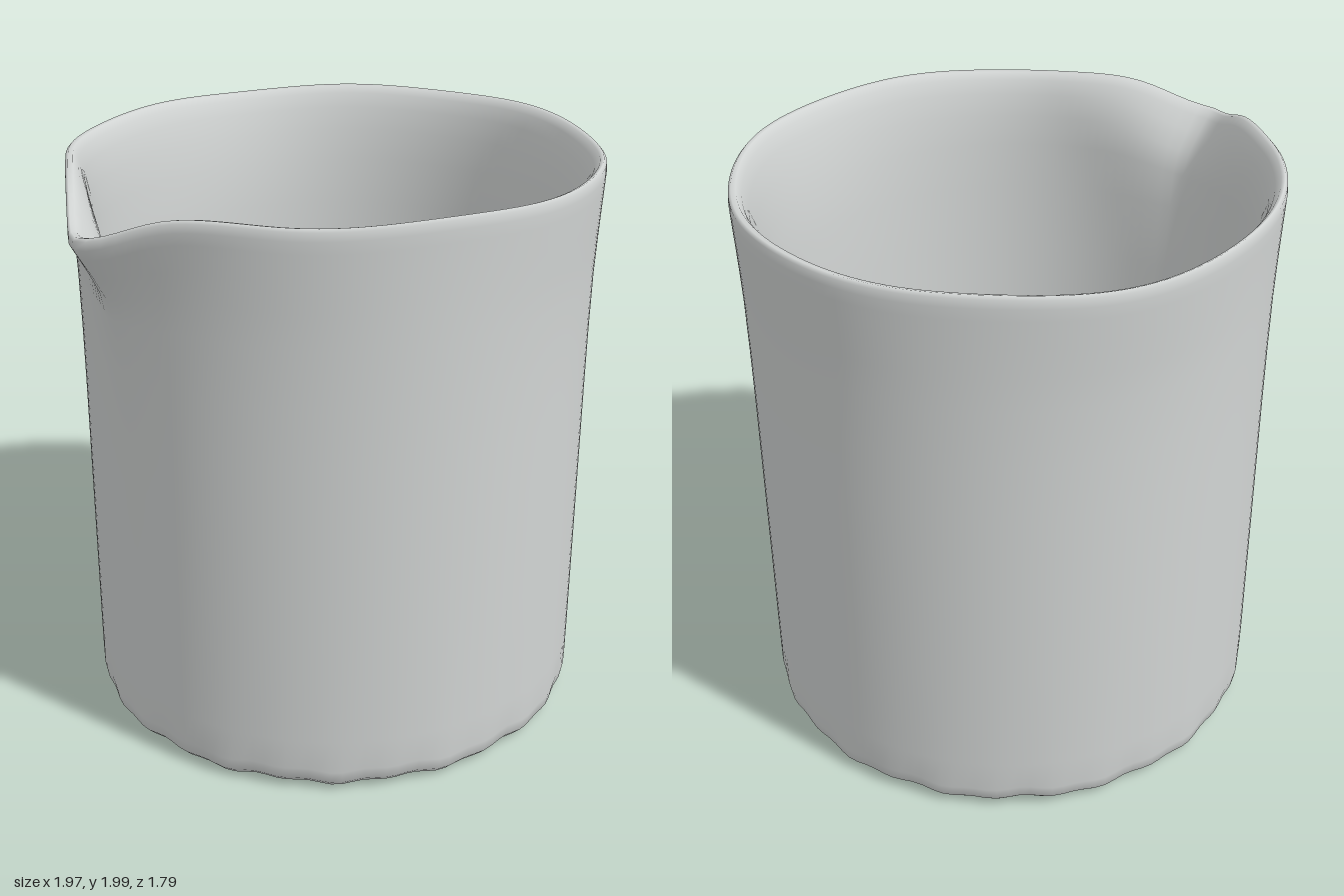
import * as THREE from 'three';

const SEGMENTS = 144;
const CENTRE_X = 0.07;

// Outside, from under the base up to the rim: [radius, height, reach of the pouring lip]
const OUTSIDE = [
  [0, 0.008, 0], [0.4, 0.008, 0], [0.7, 0.008, 0], [0.81, 0.01, 0], [0.845, 0.017, 0],
  [0.867, 0.04, 0], [0.875, 0.085, 0], [0.876, 0.2, 0], [0.876, 0.6, 0], [0.876, 1.0, 0.884],
  [0.876, 1.2, 0.892], [0.877, 1.4, 0.905], [0.88, 1.6, 0.93], [0.885, 1.72, 0.965],
  [0.89, 1.82, 1.01], [0.895, 1.91, 1.06], [0.897, 1.95, 1.085], [0.895, 1.978, 1.085],
  [0.886, 1.988, 1.075],
];
// Inside, from the rim down to the floor
const INSIDE = [
  [0.872, 1.984, 1.06], [0.855, 1.96, 1.035], [0.838, 1.91, 0.99], [0.823, 1.83, 0.93],
  [0.812, 1.72, 0.88], [0.806, 1.55, 0.845], [0.804, 1.3, 0.82], [0.803, 0.9, 0],
  [0.802, 0.5, 0], [0.8, 0.22, 0], [0.79, 0.15, 0], [0.77, 0.11, 0], [0.74, 0.095, 0],
  [0.4, 0.09, 0], [0, 0.09, 0],
];
const PROFILE = [...OUTSIDE, ...INSIDE];

// Radius widened by straight tangents that meet at a slightly rounded lip
function lipRadius(r, reach, fromLip) {
  if (reach <= r) return r;
  const spread = Math.acos(r / reach);
  return r / Math.cos(Math.max(0, spread - Math.hypot(fromLip, 0.035)));
}

function beakerGeometry() {
  const positions = [];
  const indices = [];
  PROFILE.forEach(([r, y, reach], i) => {
    const upper = THREE.MathUtils.smoothstep(y, 1.5, 1.97);
    const isFoot = i > 2 && i < 7 ? 1 : 0;
    const isInside = i >= OUTSIDE.length;
    for (let j = 0; j < SEGMENTS; j++) {
      const a = (j / SEGMENTS) * Math.PI * 2;
      const fromLip = Math.abs(a - Math.PI);
      // gently uneven rim, lowered at the lip
      const wave = 0.005 * Math.sin(3 * a + 2.6) + 0.004 * Math.sin(7 * a + 0.8);
      const dip = 0.09 * Math.exp(-Math.pow(fromLip / 0.2, 2));
      // small irregular scallops around the foot
      const foot = isFoot * (0.004 * Math.sin(13 * a) + 0.004 * Math.sin(29 * a + 1));
      const swell = 0.005 * Math.sin(5 * a + 1.5) + 0.004 * Math.cos(a);
      // the bore is slightly oval and sits a little towards the lip
      const oval = isInside
        ? (1 - upper) * (0.018 * Math.cos(2 * a) - 0.018 * Math.cos(a))
        : 0.004 * Math.cos(2 * a);
      const radius = r > 0
        ? lipRadius(r, reach, fromLip) + upper * swell + oval - 0.5 * foot
        : 0;
      positions.push(
        CENTRE_X + Math.cos(a) * radius,
        Math.max(0, y + upper * (wave - dip) + foot),
        Math.sin(a) * radius,
      );
      if (i < PROFILE.length - 1) {
        const k = (j + 1) % SEGMENTS;
        const p = i * SEGMENTS + j, q = i * SEGMENTS + k;
        indices.push(p, p + SEGMENTS, q, q, p + SEGMENTS, q + SEGMENTS);
      }
    }
  });
  const geometry = new THREE.BufferGeometry();
  geometry.setAttribute('position', new THREE.Float32BufferAttribute(positions, 3));
  geometry.setIndex(indices);
  geometry.computeVertexNormals();
  return geometry;
}

export function createModel() {
  const group = new THREE.Group();
  group.name = 'beaker';
  const grey = new THREE.MeshStandardMaterial({ color: 0xd2d5d4 });
  grey.name = 'pale grey';
  const body = new THREE.Mesh(beakerGeometry(), grey);
  body.name = 'beakerBody';
  group.add(body);
  return group;
}
